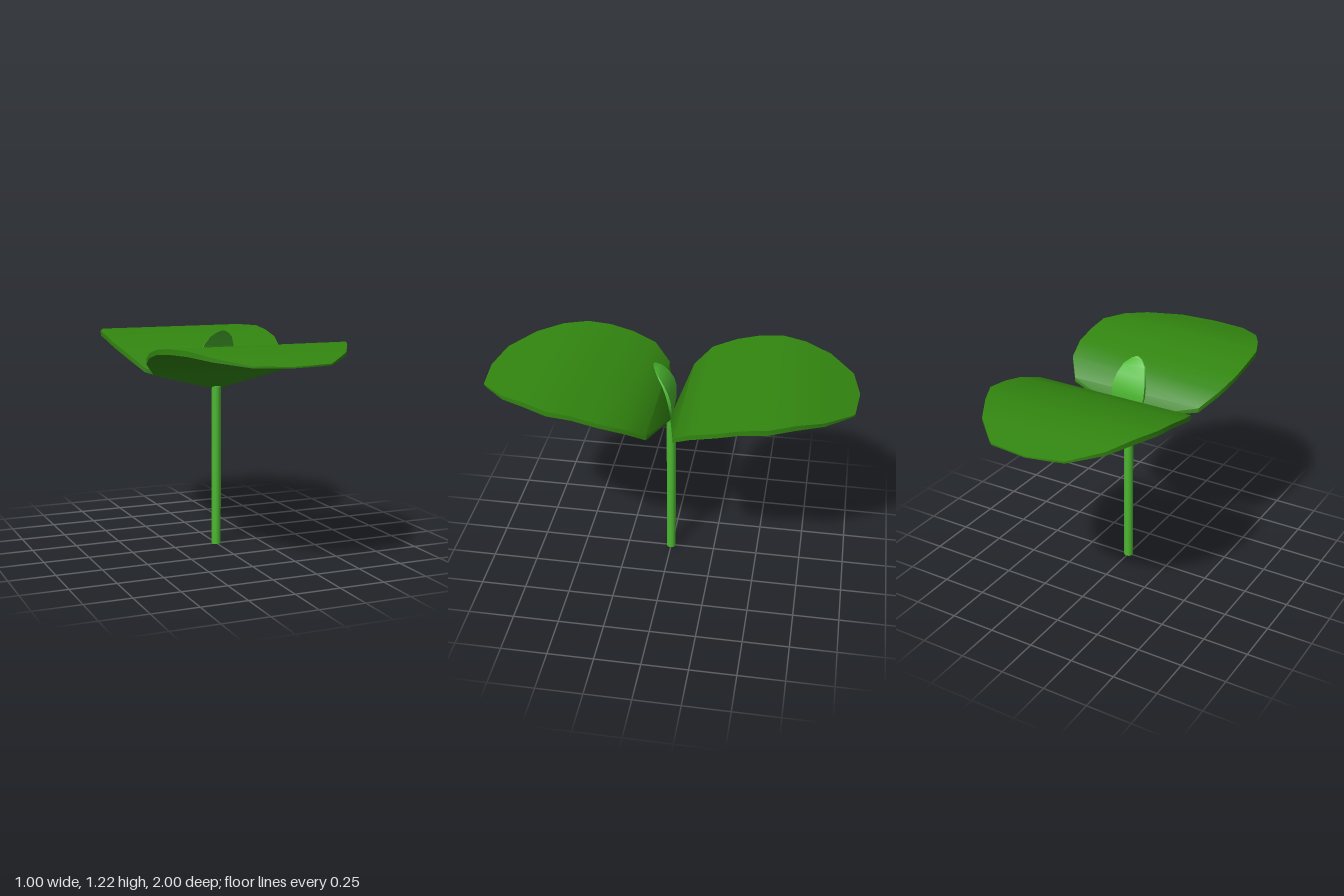
import * as THREE from 'three';
import { toCreasedNormals } from 'three/addons/utils/BufferGeometryUtils.js';

const leafGreen = new THREE.MeshStandardMaterial({ color: 0x328510 });
leafGreen.name = 'leaf green';
const stemGreen = new THREE.MeshStandardMaterial({ color: 0x4cb830 });
stemGreen.name = 'stem green';

// Closed blade lofted through four-cornered sections.
// Each section: { min, max } in x, and [y, z] of its outer and inner faces.
function bladeGeometry(sections, flip) {
  const pos = [], idx = [];
  const tri = (a, b, c) => (flip ? idx.push(a, c, b) : idx.push(a, b, c));
  for (const { min, max, outer, inner } of sections) {
    pos.push(min, ...outer, max, ...outer, max, ...inner, min, ...inner);
  }
  for (let s = 0; s < sections.length - 1; s++) {
    for (let i = 0; i < 4; i++) {
      const a = s * 4 + i, b = s * 4 + (i + 1) % 4;
      tri(a, a + 4, b + 4);
      tri(a, b + 4, b);
    }
  }
  const e = (sections.length - 1) * 4;
  tri(0, 1, 2); tri(0, 2, 3);
  tri(e, e + 3, e + 2); tri(e, e + 2, e + 1);
  const g = new THREE.BufferGeometry();
  g.setAttribute('position', new THREE.Float32BufferAttribute(pos, 3));
  g.setIndex(idx);
  return toCreasedNormals(g, 0.7);
}

// Distance from stem, top height, underside height, left and right x limits
const LEAF = [
  [0.0, 0.90, 0.89, -0.03, 0.03],
  [0.07, 1.01, 0.985, -0.39, 0.39],
  [0.165, 1.088, 1.06, -0.465, 0.465],
  [0.30, 1.132, 1.107, -0.495, 0.50],
  [0.43, 1.163, 1.137, -0.50, 0.50],
  [0.56, 1.178, 1.15, -0.49, 0.50],
  [0.69, 1.178, 1.15, -0.44, 0.435],
  [0.83, 1.155, 1.135, -0.365, 0.352],
  [0.96, 1.125, 1.115, -0.22, 0.213],
  [0.978, 1.121, 1.112, -0.13, 0.19],
  [0.998, 1.117, 1.11, -0.025, -0.015],
];

// Back height and z, front height and z, half width
const SPROUT = [
  [0.90, -0.005, 0.90, 0.0, 0.03],
  [0.97, -0.015, 0.97, -0.004, 0.085],
  [1.03, -0.014, 1.03, 0.003, 0.1],
  [1.08, -0.002, 1.082, 0.016, 0.098],
  [1.13, 0.024, 1.135, 0.038, 0.086],
  [1.175, 0.058, 1.178, 0.066, 0.065],
  [1.203, 0.083, 1.205, 0.087, 0.032],
  [1.213, 0.094, 1.215, 0.096, 0.008],
];

export function createModel() {
  const model = new THREE.Group();
  model.name = 'seedling';

  const add = (name, geometry, material) => {
    const mesh = new THREE.Mesh(geometry, material);
    mesh.name = name;
    model.add(mesh);
    return mesh;
  };

  // Straight stem
  add('stem', new THREE.CylinderGeometry(0.026, 0.026, 0.9, 12), stemGreen).position.y = 0.45;

  // Two broad arching leaves, mirrored front to back
  for (const side of [1, -1]) {
    const sections = LEAF.map(([d, top, under, min, max]) => ({
      min, max, outer: [top, side * d], inner: [under, side * d],
    }));
    add(side > 0 ? 'frontLeaf' : 'backLeaf', bladeGeometry(sections, side < 0), leafGreen);
  }

  // Young leaf curling forward between them
  const sprout = SPROUT.map(([yb, zb, yf, zf, w]) => ({
    min: -w, max: w, outer: [yb, zb], inner: [yf, zf],
  }));
  add('youngLeaf', bladeGeometry(sprout, false), stemGreen);

  return model;
}
